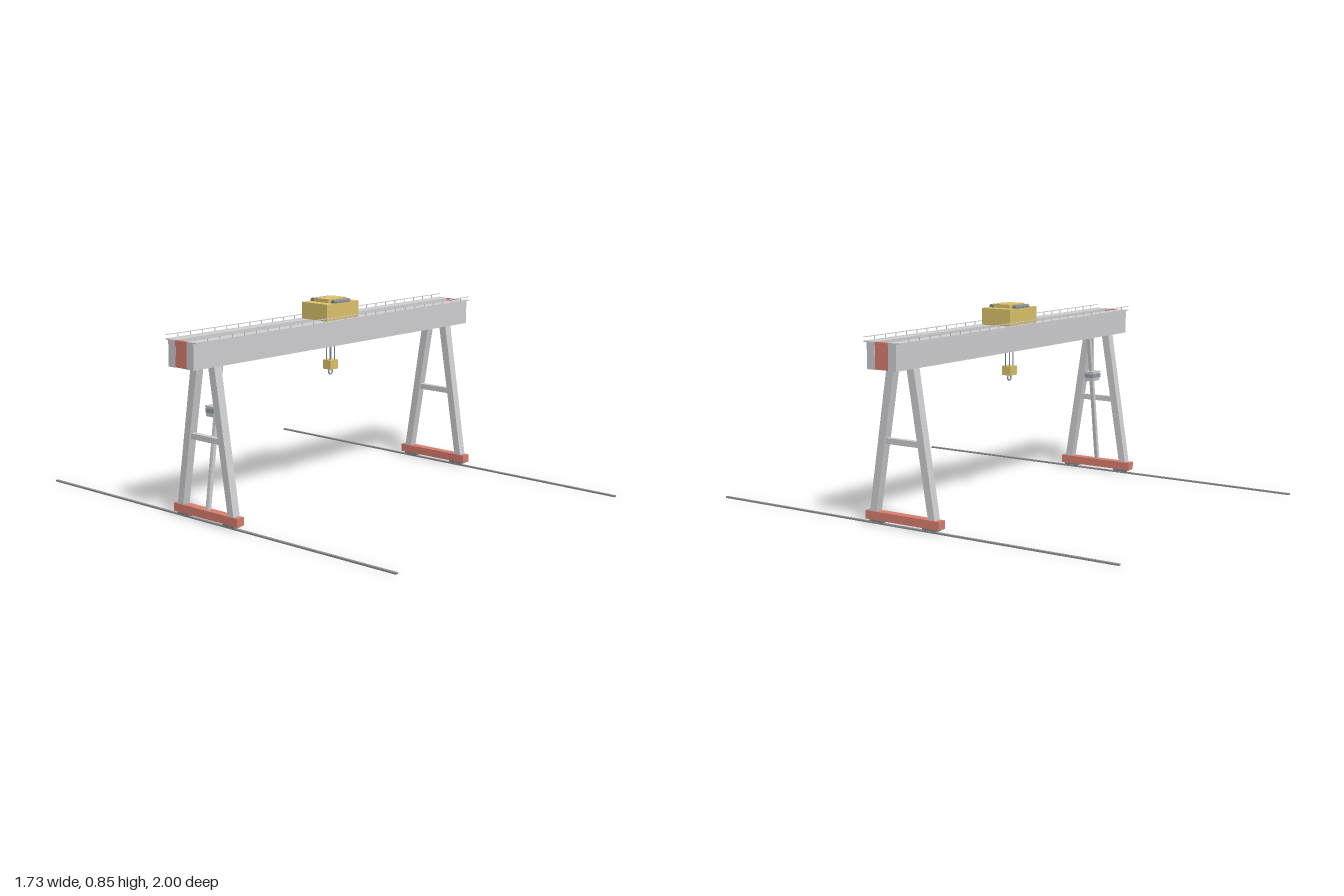
import * as THREE from 'three';

const mat = (name, color) => {
  const m = new THREE.MeshStandardMaterial({ color });
  m.name = name;
  return m;
};

export function createModel() {
  const crane = new THREE.Group();
  crane.name = 'gantryCrane';
  const steel = mat('steelGrey', 0xd2d2d6);
  const red = mat('bogieRed', 0xdb7f71);
  const yellow = mat('trolleyYellow', 0xdec56c);
  const railGrey = mat('railGrey', 0x95969a);
  const wheelGrey = mat('wheelGrey', 0x85878c);
  const slate = mat('slateGrey', 0x858b93);
  const cabGrey = mat('cabGrey', 0xc6cad0);
  const glass = mat('windowGrey', 0x9a9fa6);

  const add = (name, geo, material, x = 0, y = 0, z = 0, parent = crane) => {
    const m = new THREE.Mesh(geo, material);
    m.name = name;
    m.position.set(x, y, z);
    parent.add(m);
    return m;
  };
  // Box given by its min and max on each axis
  const box = (name, material, [x0, x1], [y0, y1], [z0, z1], parent = crane) =>
    add(name, new THREE.BoxGeometry(x1 - x0, y1 - y0, z1 - z0), material,
      (x0 + x1) / 2, (y0 + y1) / 2, (z0 + z1) / 2, parent);
  // Sheared, tapered post with level ends; each end is [x, y, z, width, depth]
  const post = (name, material, a, b, parent = crane) => {
    const g = new THREE.BoxGeometry(1, 1, 1);
    const p = g.attributes.position;
    for (let i = 0; i < p.count; i++) {
      const e = p.getY(i) < 0 ? a : b;
      p.setXYZ(i, e[0] + p.getX(i) * e[3], e[1], e[2] + p.getZ(i) * e[4]);
    }
    g.computeVertexNormals();
    return add(name, g, material, 0, 0, 0, parent);
  };

  // Twin girders, walkways and handrails
  for (const s of [-1, 1]) {
    const span = (a, b) => (s > 0 ? [a, b] : [-b, -a]);
    box('girder', steel, [-0.864, 0.864], [0.653, 0.763], span(0.033, 0.073));
    box('walkway', steel, [-0.864, 0.864], [0.759, 0.764], span(0.072, 0.088));
    box('handrail', steel, [-0.864, 0.864], [0.777, 0.78], span(0.085, 0.088));
    for (let i = -12; i <= 12; i++) {
      const x = i * 0.0667;
      box('railPost', steel, [x - 0.0012, x + 0.0012], [0.763, 0.778], span(0.085, 0.088));
    }
  }
  // Cross ties and red end ties
  for (let i = -6; i <= 6; i++) {
    const x = i * 0.1333;
    box('crossTie', steel, [x - 0.006, x + 0.006], [0.705, 0.75], [-0.034, 0.034]);
  }
  for (const s of [-1, 1]) {
    box('endTie', red, s > 0 ? [0.848, 0.863] : [-0.863, -0.848], [0.654, 0.762], [-0.034, 0.034]);
  }

  // Leg frames, sills, wheels and ground rails
  const wheelGeo = new THREE.CylinderGeometry(0.013, 0.013, 0.02, 16).rotateZ(Math.PI / 2);
  for (const s of [-1, 1]) {
    const x = s * 0.732;
    const frame = new THREE.Group();
    frame.name = s > 0 ? 'leftLegFrame' : 'rightLegFrame';
    crane.add(frame);
    for (const f of [-1, 1]) {
      post('leg', steel, [x, 0.054, f * 0.149, 0.035, 0.033], [x, 0.655, f * 0.05, 0.038, 0.036], frame);
      box('bogie', wheelGrey, [x - 0.016, x + 0.016], [0.011, 0.022],
        f > 0 ? [0.1, 0.17] : [-0.17, -0.1], frame);
      for (const z of [0.116, 0.154]) add('wheel', wheelGeo, wheelGrey, x, 0.018, f * z, frame);
    }
    box('legBrace', steel, [x - 0.012, x + 0.012], [0.338, 0.362], [-0.09, 0.09], frame);
    box('sill', red, [x - 0.02, x + 0.02], [0.02, 0.055], [-0.187, 0.187], frame);
    box('groundRail', railGrey, [x - 0.006, x + 0.006], [0, 0.007], [-1, 1], frame);
  }

  // Diagonal strut and hanging operator cab beside the right leg frame
  post('strut', steel, [-0.732, 0.054, 0, 0.017, 0.016], [-0.651, 0.655, 0, 0.017, 0.016]);
  box('cabHanger', steel, [-0.688, -0.677], [0.478, 0.655], [-0.006, 0.006]);
  box('cab', cabGrey, [-0.715, -0.653], [0.437, 0.478], [-0.022, 0.022]);
  box('cabWindow', glass, [-0.717, -0.651], [0.452, 0.47], [-0.024, 0.024]);
  box('cabRoof', cabGrey, [-0.719, -0.649], [0.475, 0.481], [-0.025, 0.025]);

  // Trolley with raised cover and rope drums
  const trolley = new THREE.Group();
  trolley.name = 'trolley';
  crane.add(trolley);
  box('trolleyBody', yellow, [-0.1, 0.1], [0.763, 0.835], [-0.073, 0.073], trolley);
  box('trolleyCover', yellow, [-0.057, 0.057], [0.83, 0.851], [-0.041, 0.041], trolley);
  const drumGeo = new THREE.CylinderGeometry(0.011, 0.011, 0.1, 16).rotateZ(Math.PI / 2);
  for (const f of [-1, 1]) add('drum', drumGeo, slate, 0, 0.838, f * 0.06, trolley);

  // Ropes, hook block and hook ring
  const ropeGeo = new THREE.CylinderGeometry(0.002, 0.002, 0.19, 6);
  for (const x of [-0.014, 0.014])
    for (const z of [-0.01, 0.01]) add('rope', ropeGeo, slate, x, 0.672, z, trolley);
  box('hookBlock', yellow, [-0.024, 0.024], [0.54, 0.58], [-0.023, 0.023], trolley);
  add('hookRing', new THREE.TorusGeometry(0.012, 0.003, 8, 20), slate, 0, 0.529, 0, trolley);

  return crane;
}
